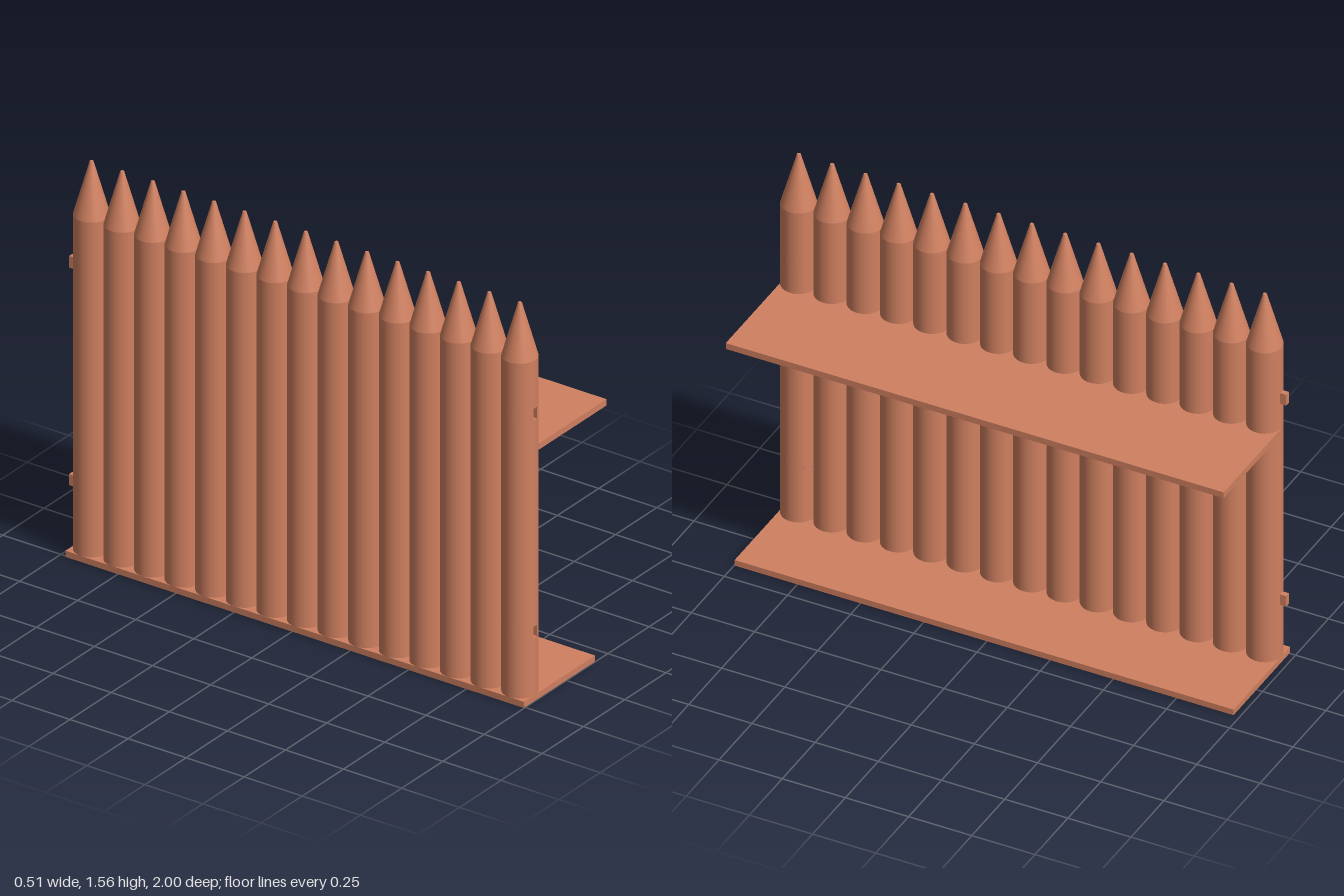
import * as THREE from 'three';
import { mergeGeometries } from 'three/addons/utils/BufferGeometryUtils.js';

const COUNT = 15, R = 0.066, POST_X = -0.19, Z_FRONT = 0.934, Z_BACK = -0.91;
const SHOULDER = 1.35, TIP = 1.56, TIP_R = 0.007, BASE_TOP = 0.024;
const KEYS = [[0.253, 0.297], [1.115, 1.161]]; // heights of the joining pegs and sockets
const KEY_W = 0.021, SOCKET_DEPTH = 0.03;

export function createModel() {
  const model = new THREE.Group();
  model.name = 'palisadeWall';
  const wood = new THREE.MeshStandardMaterial({ color: 0xd08060 });
  const thinWood = new THREE.MeshStandardMaterial({ color: 0xd08060, side: THREE.DoubleSide });

  const add = (name, geometry, material = wood, parent = model) => {
    const mesh = new THREE.Mesh(geometry, material);
    mesh.name = name;
    parent.add(mesh);
    return mesh;
  };
  const box = (name, x0, x1, y0, y1, z0, z1) =>
    add(name, new THREE.BoxGeometry(x1 - x0, y1 - y0, z1 - z0))
      .position.set((x0 + x1) / 2, (y0 + y1) / 2, (z0 + z1) / 2);

  // Open band of a post; gap is the half angle left out on the +z side
  const band = (y0, y1, gap = 0) =>
    new THREE.CylinderGeometry(R, R, y1 - y0, 40, 1, true, gap, Math.PI * 2 - 2 * gap)
      .translate(0, (y0 + y1) / 2, 0);

  // Plain shaft, and the front shaft with two socket openings
  const plainShaft = band(0.01, SHOULDER);
  const gap = Math.asin(KEY_W / 2 / R);
  const bands = [];
  let y = 0.01;
  for (const [y0, y1] of KEYS) {
    bands.push(band(y, y0), band(y0, y1, gap));
    y = y1;
  }
  bands.push(band(y, SHOULDER));
  const socketShaft = mergeGeometries(bands);

  // Sharpened tip with a tiny flat top
  const point = new THREE.CylinderGeometry(TIP_R, R, TIP - SHOULDER, 40)
    .translate(0, (TIP + SHOULDER) / 2, 0);

  // Row of posts
  for (let i = 0; i < COUNT; i++) {
    const post = new THREE.Group();
    post.name = 'post' + (i + 1);
    post.position.set(POST_X, 0, Z_FRONT + (Z_BACK - Z_FRONT) * i / (COUNT - 1));
    add('shaft', i === 0 ? socketShaft : plainShaft, wood, post);
    add('point', point, wood, post);
    model.add(post);
  }

  // Ground plank and walkway
  box('basePlank', -0.256, 0.175, 0, BASE_TOP, -0.976, 0.998);
  box('walkway', POST_X, 0.252, 0.98, 1.005, -0.977, 0.993);

  // Pegs on the back end, matching sockets in the front end
  for (const [y0, y1] of KEYS) {
    box('peg', POST_X - KEY_W / 2, POST_X + KEY_W / 2, y0, y1, -1, -0.95);

    const lining = new THREE.BoxGeometry(KEY_W, y1 - y0, SOCKET_DEPTH);
    const index = Array.from(lining.index.array);
    index.splice(24, 6); // open the +z side
    lining.setIndex(index);
    lining.clearGroups();
    add('socket', lining, thinWood)
      .position.set(POST_X, (y0 + y1) / 2, Z_FRONT + R * Math.cos(gap) - SOCKET_DEPTH / 2);
  }
  return model;
}
